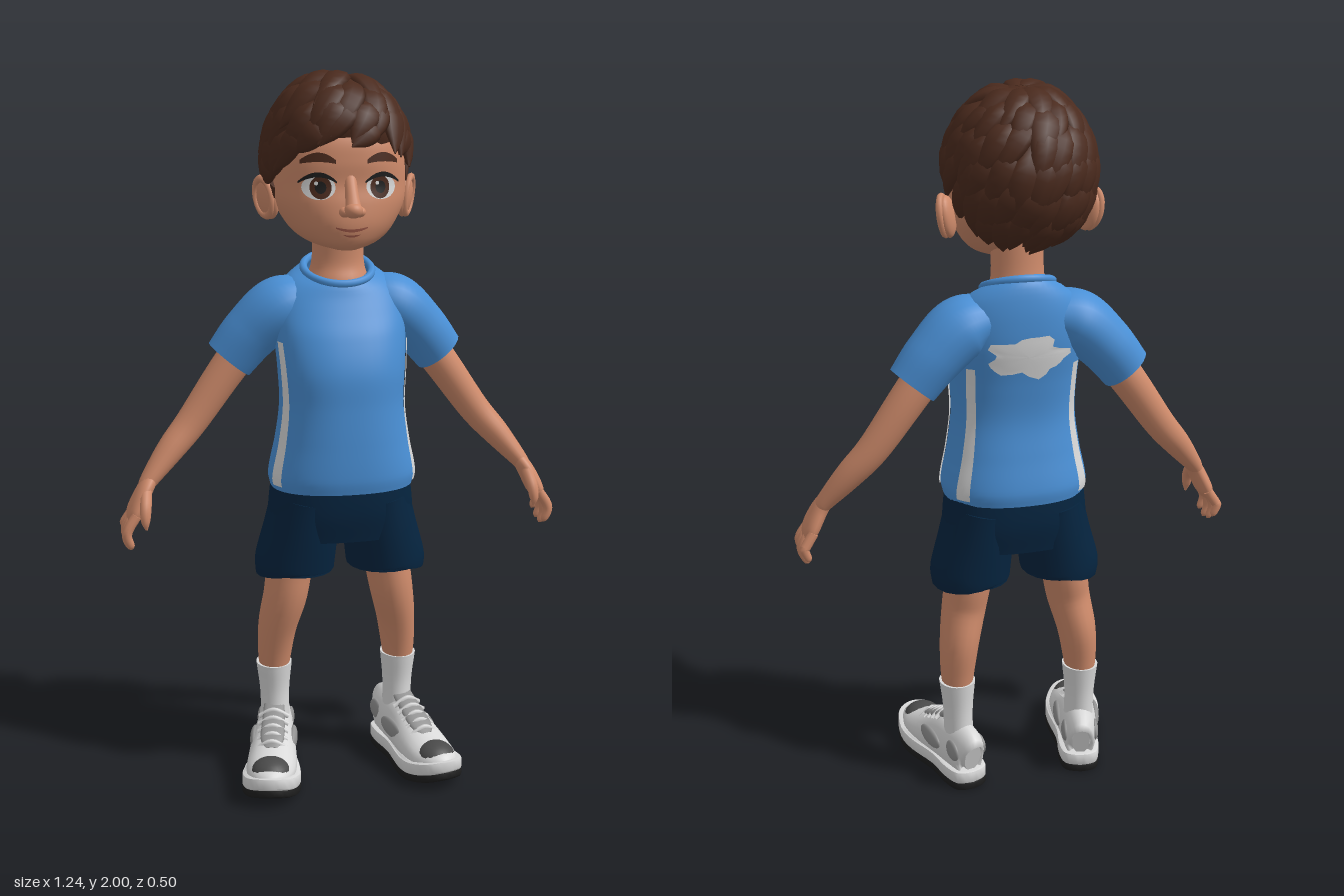
import * as THREE from 'three';
import { toCreasedNormals } from 'three/addons/utils/BufferGeometryUtils.js';

const mat = (name, color, side = THREE.FrontSide) => {
  const m = new THREE.MeshStandardMaterial({ color, side });
  m.name = name;
  return m;
};
const V = (x, y, z) => new THREE.Vector3(x, y, z);
const spow = (v, p) => Math.sign(v) * Math.abs(v) ** p;

// Smooth interpolation through rows whose first number is the parameter
function sample(keys, t) {
  let i = 0;
  while (i < keys.length - 2 && t > keys[i + 1][0]) i++;
  const a = keys[i], b = keys[i + 1], p = keys[i - 1] || a, n = keys[i + 2] || b;
  const h = b[0] - a[0], k = THREE.MathUtils.clamp((t - a[0]) / h, 0, 1), k2 = k * k, k3 = k2 * k;
  return a.map((v, j) => {
    const m0 = (b[j] - p[j]) / (b[0] - p[0]) * h, m1 = (n[j] - v) / (n[0] - a[0]) * h;
    return (2 * k3 - 3 * k2 + 1) * v + (k3 - 2 * k2 + k) * m0 + (3 * k2 - 2 * k3) * b[j] + (k3 - k2) * m1;
  });
}

// Surface from fn(u, v); wrapped surfaces close in u and may be capped at both ends
function grid(nu, nv, fn, wrap = false, caps = false) {
  const pos = [], idx = [], row = wrap ? nu : nu + 1;
  const push = (p) => pos.push(p.x, p.y, p.z) / 3 - 1;
  for (let j = 0; j <= nv; j++) for (let i = 0; i < row; i++) push(fn(i / nu, j / nv));
  for (let j = 0; j < nv; j++) for (let i = 0; i < nu; i++) {
    const a = j * row + i, b = j * row + (i + 1) % row;
    idx.push(a, b, b + row, a, b + row, a + row);
  }
  if (caps) for (const v of [0, 1]) {
    const ring = Array.from({ length: nu }, (_, i) => fn(i / nu, v));
    const c = push(ring.reduce((s, p) => s.add(p), V(0, 0, 0)).divideScalar(nu));
    const ids = ring.map(push);
    ids.forEach((a, i) => (v ? idx.push(c, a, ids[(i + 1) % nu]) : idx.push(c, ids[(i + 1) % nu], a)));
  }
  const g = new THREE.BufferGeometry();
  g.setAttribute('position', new THREE.Float32BufferAttribute(pos, 3));
  g.setIndex(idx);
  g.computeVertexNormals();
  return g;
}

// Tapered tube through rows [x, y, z, radius across, radius along ref]
function limb(points, { sides = 20, steps = 24, ref = () => V(0, 0, 1) } = {}) {
  const keys = points.map((p, i) => [i, ...p]), end = points.length - 1;
  const at = (t) => { const k = sample(keys, t); return V(k[1], k[2], k[3]); };
  return grid(sides, steps, (u, v) => {
    const t = v * end, k = sample(keys, t), c = at(t);
    const T = at(Math.min(end, t + 0.02)).sub(at(Math.max(0, t - 0.02))).normalize();
    const R = ref(c).addScaledVector(T, -ref(c).dot(T)).normalize(), S = T.clone().cross(R), a = u * Math.PI * 2;
    return c.addScaledVector(S, k[4] * Math.sin(a)).addScaledVector(R, k[5] * Math.cos(a));
  }, true, true);
}

// Upright form from rows [y, half width, front z, back z, centre z, tilt, squareness]
function body(keys) {
  const point = (y, a, off = 0) => {
    const [, w, f, b, cz, tilt, n] = sample(keys, y), s = Math.sin(a), c = Math.cos(a);
    const z = (c > 0 ? f - cz : cz - b) * spow(c, 2 / n);
    return V(w * spow(s, 2 / n) + off * s, y - tilt * z, cz + z + off * c);
  };
  const y0 = keys[0][0], y1 = keys.at(-1)[0];
  const geometry = (caps) => grid(48, 48, (u, v) => point(y0 + (y1 - y0) * v, u * Math.PI * 2), true, caps);
  // Lays a flat geometry on the front or back of the form
  const decal = (geo, x0, yc, off, back = false) => {
    const p = geo.attributes.position;
    for (let i = 0; i < p.count; i++) {
      const y = yc + p.getY(i), k = sample(keys, y);
      const s = THREE.MathUtils.clamp((x0 + p.getX(i)) / k[1], -1, 1);
      const q = point(y, Math.asin(spow(s, k[6] / 2)) + (back ? Math.PI : 0), off);
      p.setXYZ(i, q.x, q.y, q.z);
    }
    geo.computeVertexNormals();
    return geo;
  };
  return { point, geometry, decal };
}

const disc = (rx, ry) => new THREE.RingGeometry(0.001, 1, 28, 4).scale(rx, ry, 1);
function strip(w, h, bend, taper = 0.6) {
  const g = new THREE.PlaneGeometry(w, h, 14, 2), p = g.attributes.position;
  for (let i = 0; i < p.count; i++) {
    const k = (2 * p.getX(i) / w) ** 2;
    p.setY(i, p.getY(i) * (1 - taper * k) + bend * k);
  }
  return g;
}

export function createModel() {
  const root = new THREE.Group();
  const skin = mat('skin', 0xcf8b6b), brown = mat('hair brown', 0x4a2a1d, THREE.DoubleSide);
  const blue = mat('shirt blue', 0x4a90d6, THREE.DoubleSide), navy = mat('shorts navy', 0x05243f);
  const white = mat('white', 0xd9d9d9, THREE.DoubleSide), grey = mat('shoe grey', 0x929292);
  const dark = mat('toe charcoal', 0x4a4a4a), black = mat('sole black', 0x1e1e1e), lip = mat('lip', 0x9a5646);
  const add = (name, geo, m, parent = root) => {
    const mesh = new THREE.Mesh(geo, m);
    mesh.name = name;
    parent.add(mesh);
    return mesh;
  };
  const ball = (name, m, c, r, parent) => add(name, new THREE.SphereGeometry(1, 24, 16).scale(...r).translate(...c), m, parent);

  // Shirt body, collar, pale patch and side stripes
  const torso = body([
    [0.865, 0.2, 0.15, -0.155, 0, 0, 2.3], [0.9, 0.206, 0.157, -0.16, 0, 0, 2.3], [1, 0.186, 0.157, -0.142, 0, 0, 2.3],
    [1.1, 0.173, 0.153, -0.128, 0, 0, 2.3], [1.2, 0.177, 0.148, -0.138, 0, 0.02, 2.3], [1.3, 0.183, 0.118, -0.156, -0.02, 0.08, 2.3],
    [1.37, 0.18, 0.085, -0.158, -0.035, 0.16, 2.2], [1.42, 0.16, 0.062, -0.152, -0.04, 0.25, 2.1],
    [1.45, 0.125, 0.052, -0.142, -0.04, 0.33, 2], [1.465, 0.095, 0.045, -0.13, -0.045, 0.38, 2]]);
  add('shirtBody', torso.geometry(false), blue);
  const rim = Array.from({ length: 24 }, (_, i) => torso.point(1.465, i / 24 * Math.PI * 2));
  add('collar', new THREE.TubeGeometry(new THREE.CatmullRomCurve3(rim, true), 48, 0.011, 8, true), blue);
  const patch = disc(0.105, 0.05), pp = patch.attributes.position;
  for (let i = 0; i < pp.count; i++) {
    const a = Math.atan2(pp.getY(i) / 0.05, pp.getX(i) / 0.105), k = 1 + 0.15 * Math.cos(5 * a) + 0.1 * Math.sin(8 * a);
    pp.setXY(i, pp.getX(i) * k, pp.getY(i) * k);
  }
  add('backPatch', torso.decal(patch, 0, 1.28, 0.005, true), white);
  for (const s of [1, -1]) for (const [name, c, top] of [['frontStripe', 1.2, 1.28], ['backStripe', 2.2, 1.25]])
    add(name, grid(4, 24, (u, v) => torso.point(0.88 + (top - 0.88) * v, s * (c + 0.05 * v) + (u - 0.5) * (0.27 - 0.08 * v), 0.004)), white);

  // Shorts
  add('shortsHips', body([[0.72, 0.205, 0.12, -0.14, -0.01, 0, 2.4], [0.8, 0.205, 0.135, -0.152, -0.01, 0, 2.4],
    [0.9, 0.194, 0.138, -0.148, -0.01, 0, 2.4]]).geometry(true), navy);

  for (const s of [1, -1]) {
    const side = new THREE.Group();
    side.name = s > 0 ? 'leftLimbs' : 'rightLimbs';
    root.add(side);
    const part = (name, rows, m, opt) => add(name, limb(rows.map(([x, ...r]) => [x * s, ...r]), opt), m, side);

    // Sleeve, arm and hand
    part('sleeve', [[0.08, 1.385, -0.06, 0.06, 0.075], [0.16, 1.36, -0.06, 0.084, 0.1], [0.24, 1.29, -0.07, 0.079, 0.088],
      [0.302, 1.215, -0.075, 0.072, 0.07]], blue);
    part('arm', [[0.23, 1.29, -0.073, 0.055, 0.055], [0.32, 1.17, -0.075, 0.05, 0.052], [0.41, 1.045, -0.068, 0.044, 0.045],
      [0.475, 0.97, -0.05, 0.038, 0.042], [0.537, 0.895, -0.025, 0.025, 0.033], [0.55, 0.875, -0.02, 0.02, 0.03]], skin);
    part('palm', [[0.53, 0.905, -0.027, 0.02, 0.026], [0.555, 0.865, -0.012, 0.023, 0.042], [0.58, 0.815, -0.008, 0.023, 0.052],
      [0.592, 0.785, -0.008, 0.014, 0.045]], skin);
    [0.036, 0.008, -0.021, -0.05].forEach((z, i) => {
      const d = [0.012, 0, 0.006, 0.025][i];
      part('finger', [[0.58, 0.81, z, 0.014, 0.014], [0.603, 0.775, z * 1.1, 0.014, 0.014], [0.607, 0.74 + d, z * 1.15, 0.013, 0.013],
        [0.597, 0.715 + d, z * 1.15, 0.01, 0.01], [0.593, 0.707 + d, z * 1.15, 0.002, 0.002]], skin, { sides: 10, steps: 14 });
    });
    part('thumb', [[0.55, 0.87, 0.01, 0.017, 0.017], [0.555, 0.835, 0.045, 0.016, 0.016], [0.558, 0.8, 0.058, 0.013, 0.013],
      [0.556, 0.775, 0.06, 0.003, 0.003]], skin, { sides: 10, steps: 14 });

    // Shorts leg, leg and sock
    part('shortsLeg', [[0.1, 0.83, -0.01, 0.095, 0.135], [0.115, 0.73, -0.012, 0.105, 0.132], [0.132, 0.64, -0.015, 0.113, 0.126],
      [0.133, 0.62, -0.015, 0.11, 0.122]], navy);
    part('leg', [[0.115, 0.75, -0.03, 0.07, 0.085], [0.142, 0.62, -0.035, 0.065, 0.086], [0.157, 0.53, -0.033, 0.062, 0.08],
      [0.177, 0.43, -0.055, 0.055, 0.075], [0.186, 0.33, -0.062, 0.047, 0.056], [0.186, 0.25, -0.064, 0.035, 0.045]], skin);
    part('sock', [[0.187, 0.315, -0.063, 0.052, 0.059], [0.186, 0.23, -0.064, 0.043, 0.051], [0.185, 0.15, -0.062, 0.042, 0.053],
      [0.185, 0.1, -0.06, 0.045, 0.055]], white);

    // Shoe: outsole, midsole, upper, toe cap, tongue, laces and side panels
    const shoe = new THREE.Group();
    shoe.name = 'shoe';
    shoe.position.set(0.185 * s, 0, -0.065);
    shoe.rotation.y = 0.23 * s;
    side.add(shoe);
    const outline = new THREE.Shape(new THREE.SplineCurve([[0, -0.09], [0.042, -0.075], [0.055, -0.02], [0.056, 0.06], [0.074, 0.16],
      [0.076, 0.23], [0.05, 0.295], [0, 0.315], [-0.05, 0.295], [-0.076, 0.23], [-0.074, 0.16], [-0.056, 0.06], [-0.055, -0.02],
      [-0.042, -0.075], [0, -0.09]].map(([x, z]) => new THREE.Vector2(x, -z))).getPoints(56));
    const sole = (name, y, h, m) => {
      const g = new THREE.ExtrudeGeometry(outline, { depth: h - 0.01, bevelThickness: 0.005, bevelSize: 0.005, bevelSegments: 2 });
      g.rotateX(-Math.PI / 2).translate(0, y + 0.005, 0);
      const p = g.attributes.position;
      for (let i = 0; i < p.count; i++) p.setY(i, p.getY(i) + 0.035 * Math.max(0, (p.getZ(i) - 0.15) / 0.17) ** 2);
      add(name, toCreasedNormals(g, 0.7), m, shoe);
    };
    sole('outsole', 0, 0.024, black);
    sole('midsole', 0.022, 0.036, white);
    const up = { ref: () => V(0, 1, 0) };
    add('shoeUpper', limb([[0, 0.1, -0.088, 0.025, 0.05], [0, 0.105, -0.07, 0.045, 0.078], [0, 0.1, 0, 0.054, 0.084],
      [0, 0.095, 0.06, 0.059, 0.083], [0, 0.08, 0.14, 0.069, 0.064], [0, 0.068, 0.22, 0.07, 0.048], [0, 0.07, 0.285, 0.048, 0.034],
      [0, 0.07, 0.312, 0.012, 0.012]], up), white, shoe);
    ball('toeCap', dark, [0, 0.078, 0.242], [0.056, 0.041, 0.058], shoe);
    add('tongue', limb([[0, 0.19, 0.035, 0.03, 0.012], [0, 0.172, 0.07, 0.032, 0.014], [0, 0.138, 0.15, 0.034, 0.012],
      [0, 0.122, 0.19, 0.02, 0.006]], up), grey, shoe);
    for (let i = 0; i < 5; i++) {
      const z = 0.065 + i * 0.026, y = 0.188 - i * 0.0125;
      const lace = new THREE.CatmullRomCurve3([V(-0.042, y - 0.022, z), V(0, y, z + 0.006), V(0.042, y - 0.022, z)]);
      add('lace', new THREE.TubeGeometry(lace, 10, 0.007, 6), white, shoe);
    }
    for (const k of [1, -1]) {
      ball('sidePanel', grey, [k * 0.056, 0.105, 0.075], [0.013, 0.028, 0.06], shoe);
      ball('heelPanel', grey, [k * 0.044, 0.115, -0.045], [0.011, 0.03, 0.035], shoe);
    }

    // Ear
    const ear = ball('ear', skin, [0, 0, 0], [0.02, 0.057, 0.04], side);
    ear.position.set(s * 0.192, 1.657, -0.052);
    ear.rotation.set(-0.2, s * -0.5, s * -0.2);
    const helix = add('earRim', new THREE.TorusGeometry(0.04, 0.009, 8, 24).scale(0.85, 1.25, 1).rotateY(Math.PI / 2), skin, side);
    helix.position.set(s * 0.203, 1.66, -0.052);
    helix.rotation.copy(ear.rotation);
  }

  // Neck, head and nose
  add('neck', limb([[0, 1.34, -0.05, 0.12, 0.09], [0, 1.43, -0.045, 0.09, 0.083], [0, 1.49, -0.042, 0.073, 0.064],
    [0, 1.6, -0.035, 0.072, 0.065]]), skin);
  const head = body([
    [1.527, 0.03, 0.095, 0.02, 0.05, 0, 2], [1.54, 0.078, 0.117, -0.02, 0.03, 0, 2], [1.565, 0.122, 0.13, -0.07, 0, 0, 2],
    [1.6, 0.152, 0.136, -0.12, -0.02, 0, 2.1], [1.65, 0.176, 0.131, -0.17, -0.03, 0, 2.2], [1.7, 0.18, 0.12, -0.19, -0.03, 0, 2.3],
    [1.76, 0.177, 0.122, -0.195, -0.03, 0, 2.3], [1.82, 0.168, 0.113, -0.19, -0.03, 0, 2.2], [1.88, 0.14, 0.075, -0.16, -0.03, 0, 2],
    [1.93, 0.08, 0.02, -0.1, -0.03, 0, 2]]);
  add('head', head.geometry(true), skin);
  add('noseBridge', limb([[0, 1.72, 0.11, 0.016, 0.012], [0, 1.675, 0.132, 0.018, 0.016], [0, 1.64, 0.15, 0.022, 0.018]]), skin);
  ball('noseTip', skin, [0, 1.637, 0.15], [0.025, 0.021, 0.025]);

  // Face details
  for (const s of [1, -1]) {
    ball('nostril', skin, [s * 0.02, 1.632, 0.138], [0.016, 0.014, 0.018]);
    const face = (name, geo, x, y, off, m) => add(name, head.decal(geo, x, y, off), m);
    face('eyeWhite', disc(0.042, 0.032), s * 0.083, 1.695, 0.003, white);
    face('iris', disc(0.027, 0.03), s * 0.078, 1.695, 0.005, brown);
    face('pupil', disc(0.014, 0.016), s * 0.078, 1.695, 0.007, black);
    face('eyeGlint', disc(0.005, 0.005), s * 0.078 - 0.01, 1.706, 0.009, white);
    face('upperLash', strip(0.094, 0.013, -0.02), s * 0.084, 1.728, 0.008, black);
    face('eyebrow', strip(0.085, 0.024, -0.012), s * 0.083, 1.773, 0.009, brown);
  }
  add('mouth', head.decal(strip(0.085, 0.008, 0.008), 0, 1.583, 0.004), lip);
  add('lowerLip', head.decal(strip(0.045, 0.006, 0.004, 0.9), 0, 1.568, 0.003), lip);

  // Hair: a shell down to the hairline, covered by layered locks swirling from the crown
  const C = V(-0.006, 1.765, -0.035), rad = Math.PI / 180, quiff = V(-0.3, 0.6, 0.74);
  const hairPoint = (az, th, k) => {
    const d = V(Math.sin(th) * Math.sin(az), Math.cos(th), Math.sin(th) * Math.cos(az));
    return d.clone().multiply(V(0.192, 0.212, 0.2)).multiplyScalar(k * (1 + 0.13 * Math.max(0, d.dot(quiff)) ** 4)).add(C);
  };
  const hairline = (az) => {
    const c = Math.cos(az);
    return rad * (c > 0 ? 100 - 28 * c : 100 + 50 * (-c) ** 0.7);
  };
  add('hairShell', grid(48, 24, (u, v) => {
    const az = u * Math.PI * 2;
    return hairPoint(az, 0.01 + v * hairline(az), 1 - 0.15 * v ** 5);
  }, true), brown);
  let seed = 7;
  const rnd = () => (seed = (seed * 16807) % 2147483647) / 2147483647;
  const outward = (p) => p.clone().sub(C).normalize();
  [[4, 9], [24, 16], [44, 21], [64, 24], [86, 24], [106, 22]].forEach(([start, count], layer) => {
    for (let i = 0; i < count; i++) {
      const az = (i + (layer % 2) / 2 + 0.4 * rnd()) / count * Math.PI * 2, swirl = -0.25 - 0.3 * rnd();
      const s = rad * (start + 6 * rnd()), limit = hairline(az + swirl) + rad * (2 + 9 * rnd());
      const e = Math.min(s + rad * (40 + 14 * rnd()), limit);
      if (e - s < rad * 16) continue;
      const lift = 0.03 + 0.05 * rnd() * (Math.cos(az) > 0 ? 1.3 : 0.5), w = 0.85 + 0.3 * rnd();
      const rows = [[0, 0.96, 0.02, 0.01], [0.33, 1.01, 0.038, 0.018], [0.68, 1.02, 0.03, 0.015], [1, 1 + lift, 0.002, 0.002]];
      add('hairLock', limb(rows.map(([t, k, a, b]) =>
        [...hairPoint(az + swirl * t, s + (e - s) * t, k).toArray(), a * w, b]), { sides: 8, steps: 9, ref: outward }), brown);
    }
  });
  return root;
}
